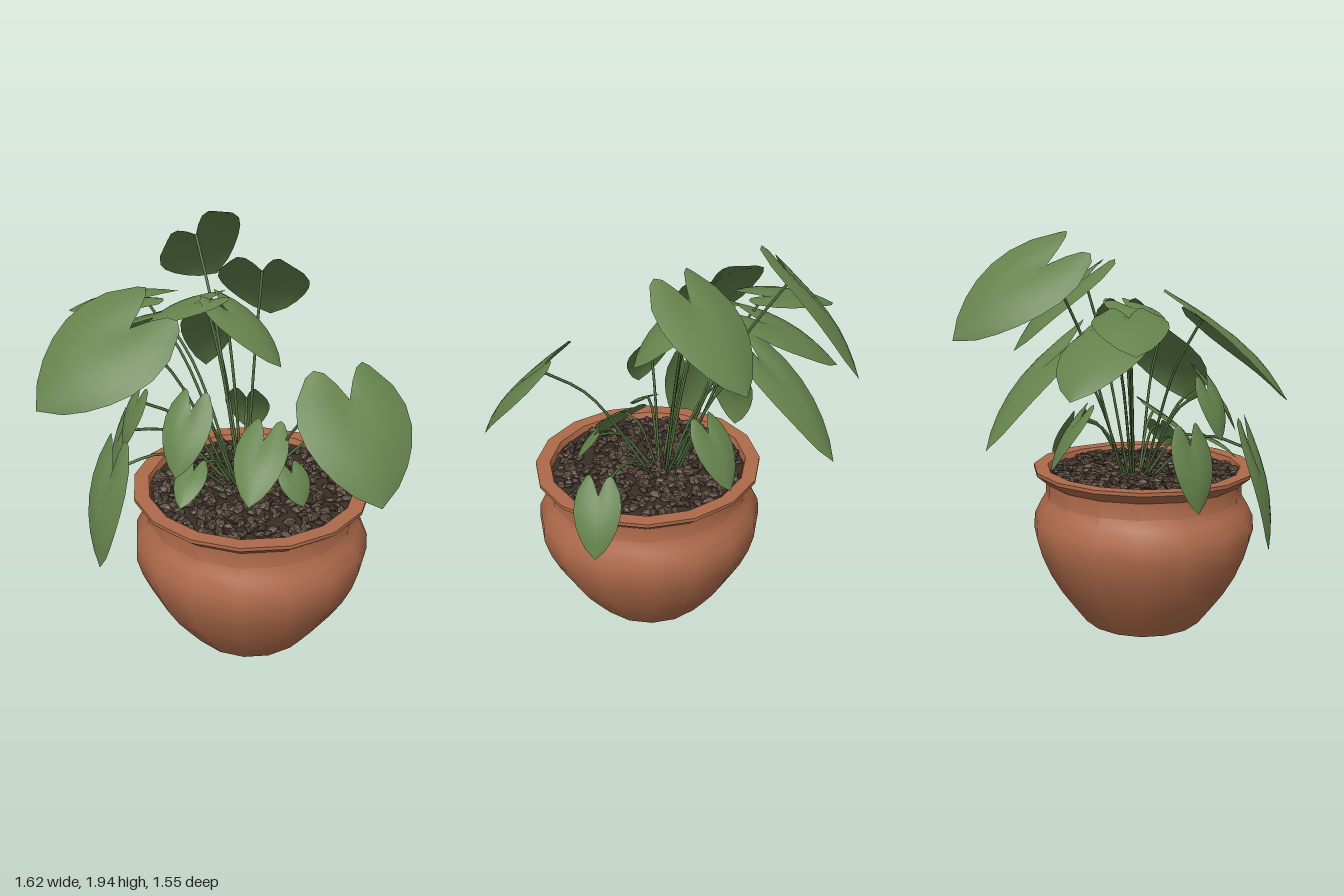
import * as THREE from 'three';
import { mergeGeometries, toCreasedNormals } from 'three/addons/utils/BufferGeometryUtils.js';

const material = (name, color) => Object.assign(new THREE.MeshStandardMaterial({ color }), { name });
const terracotta = material('terracotta', 0xae6a4a);
const soilBrown = material('soil brown', 0x3a2e26);
const pebbleBrown = material('pebble brown', 0x5e4e40);
const pebbleDark = material('dark pebble brown', 0x4a3c32);
const leafGreen = material('leaf green', 0x64824c);
const stemGreen = material('stem green', 0x506c3c);
leafGreen.side = THREE.DoubleSide;

const POT_X = 0.105, POT_Z = 0.22;

// Small seeded random generator
function seeded(seed) {
  return () => {
    seed = (seed * 16807) % 2147483647;
    return seed / 2147483647;
  };
}

function addMesh(parent, name, geometry, mat) {
  const mesh = new THREE.Mesh(geometry, mat);
  mesh.name = name;
  parent.add(mesh);
  return mesh;
}

// Heart-shaped blade from notch to tip; level across its width unless rolled about its midrib
const WIDTHS = [0.6, 0.9, 1, 0.97, 0.85, 0.66, 0.4, 0];
function leafGeometry(base, tip, ratio, roll) {
  const length = base.distanceTo(tip);
  const dir = tip.clone().sub(base).normalize();
  const side = new THREE.Vector3(dir.z, 0, -dir.x).normalize().applyAxisAngle(dir, roll);
  const normal = new THREE.Vector3().crossVectors(dir, side);
  const rows = WIDTHS.length - 1, cols = 8;
  const positions = [], index = [];
  for (let i = 0; i <= rows; i++) {
    const t = i / rows, half = WIDTHS[i] * ratio / 2;
    for (let j = 0; j <= cols; j++) {
      const u = (j / cols) * 2 - 1;
      // lobes sweep back beside the notch, the blade arches and droops at the sides
      const y = t - 0.32 * Math.sin(Math.abs(u) * 2.1) * (1 - t) ** 2;
      const lift = 0.09 * Math.sin(Math.PI * t) - 0.18 * u * u * half;
      const p = base.clone()
        .addScaledVector(dir, y * length)
        .addScaledVector(side, u * half * length)
        .addScaledVector(normal, lift * length);
      positions.push(p.x, p.y, p.z);
      if (i < rows && j < cols) {
        const k = i * (cols + 1) + j, m = k + cols + 1;
        index.push(k, m, k + 1);
        if (i < rows - 1) index.push(k + 1, m, m + 1);
      }
    }
  }
  const g = new THREE.BufferGeometry();
  g.setAttribute('position', new THREE.Float32BufferAttribute(positions, 3));
  g.setIndex(index);
  g.computeVertexNormals();
  return g;
}

// One leaf on an arching stem that rises from the middle of the soil
function addLeaf(parent, base, tip, ratio = 0.75, roll = 0) {
  const plant = new THREE.Group();
  plant.name = 'leafWithStem';
  parent.add(plant);
  addMesh(plant, 'leaf', leafGeometry(base, tip, ratio, roll), leafGreen);
  const root = new THREE.Vector3(0.06 + base.x * 0.12, 0.75, 0.14 + base.z * 0.15);
  const bend = root.clone().lerp(base, 0.55);
  bend.y += 0.06 + 0.12 * Math.hypot(base.x - root.x, base.z - root.z);
  const path = new THREE.CatmullRomCurve3([root, bend, base]);
  addMesh(plant, 'stem', new THREE.TubeGeometry(path, 10, 0.007, 5), stemGreen);
}

export function createModel() {
  const model = new THREE.Group();
  model.name = 'pottedPlant';
  const random = seeded(4211);
  const at = (x, y, z) => new THREE.Vector3(x, y, z);

  // Pot: bulging belly, neck, flared rim and inner wall in one turned profile
  const belly = new THREE.SplineCurve([
    new THREE.Vector2(0.305, 0), new THREE.Vector2(0.475, 0.24),
    new THREE.Vector2(0.562, 0.49), new THREE.Vector2(0.495, 0.65),
  ]).getPoints(8);
  const rim = [[0.495, 0.73], [0.555, 0.78], [0.555, 0.797], [0.485, 0.795], [0.465, 0.73]]
    .map(([r, y]) => new THREE.Vector2(r, y));
  const turned = new THREE.LatheGeometry([new THREE.Vector2(0, 0), ...belly, ...rim], 16);
  const pot = addMesh(model, 'pot', toCreasedNormals(turned, 0.62), terracotta);
  pot.position.set(POT_X, 0, POT_Z);

  // Soil disc with scattered pebbles
  const soil = addMesh(model, 'soil', new THREE.CylinderGeometry(0.475, 0.475, 0.02, 24), soilBrown);
  soil.position.set(POT_X, 0.755, POT_Z);
  const piles = [[], []];
  for (let i = 0; i < 620; i++) {
    const r = 0.455 * Math.sqrt(random()), a = random() * Math.PI * 2;
    const s = 0.018 + random() * 0.012;
    const g = new THREE.IcosahedronGeometry(1, 0);
    g.scale(s * 1.25, s * 0.55, s * 0.75);
    g.rotateX((random() - 0.5) * 1.2);
    g.rotateY(random() * Math.PI * 2);
    g.translate(POT_X + r * Math.cos(a), 0.766 + random() * 0.014, POT_Z + r * Math.sin(a));
    piles[i % 2].push(g);
  }
  addMesh(model, 'lightPebbles', mergeGeometries(piles[0]), pebbleBrown);
  addMesh(model, 'darkPebbles', mergeGeometries(piles[1]), pebbleDark);

  // Tall leaves at the back
  addLeaf(model, at(-0.22, 1.8, -0.36), at(-0.17, 1.48, -0.77), 0.85, -0.65);
  addLeaf(model, at(0.12, 1.72, -0.08), at(0.14, 1.39, -0.43), 0.88);
  addLeaf(model, at(-0.14, 1.42, -0.26), at(-0.22, 1, -0.65), 0.5);

  // Upper leaves in the middle and on the right side
  addLeaf(model, at(-0.03, 1.58, 0.06), at(0.23, 1.36, 0.17));
  addLeaf(model, at(-0.12, 1.61, 0.04), at(-0.4, 1.5, 0.12));
  addLeaf(model, at(-0.34, 1.49, -0.1), at(-0.6, 1.26, -0.38), 0.88);
  addLeaf(model, at(-0.42, 1.58, -0.06), at(-0.82, 1.46, -0.18));

  // Two broad leaves at the front corners
  addLeaf(model, at(-0.42, 1.56, 0.28), at(-0.8, 1.25, 0.5), 1, -0.49);
  addLeaf(model, at(0.53, 1.36, 0.47), at(0.68, 1, 0.73), 1.1);

  // Leaves hanging over the rim
  addLeaf(model, at(-0.48, 0.98, 0.5), at(-0.55, 0.51, 0.58), 0.5);
  addLeaf(model, at(-0.5, 1.02, 0.2), at(-0.56, 0.72, 0.22));
  addLeaf(model, at(-0.39, 1.24, 0.33), at(-0.46, 1.02, 0.37));
  addLeaf(model, at(0.62, 0.93, 0.01), at(0.72, 0.67, -0.06));

  // Small young leaves low over the soil
  addLeaf(model, at(-0.14, 1.25, 0.43), at(-0.19, 1, 0.58));
  addLeaf(model, at(-0.13, 0.97, 0.45), at(-0.17, 0.86, 0.6));
  addLeaf(model, at(0.17, 1.06, 0.3), at(0.12, 0.84, 0.53));
  addLeaf(model, at(0.3, 0.95, 0.39), at(0.36, 0.82, 0.46), 1);
  addLeaf(model, at(0.05, 1.06, -0.13), at(0.06, 0.81, -0.28));
  return model;
}
